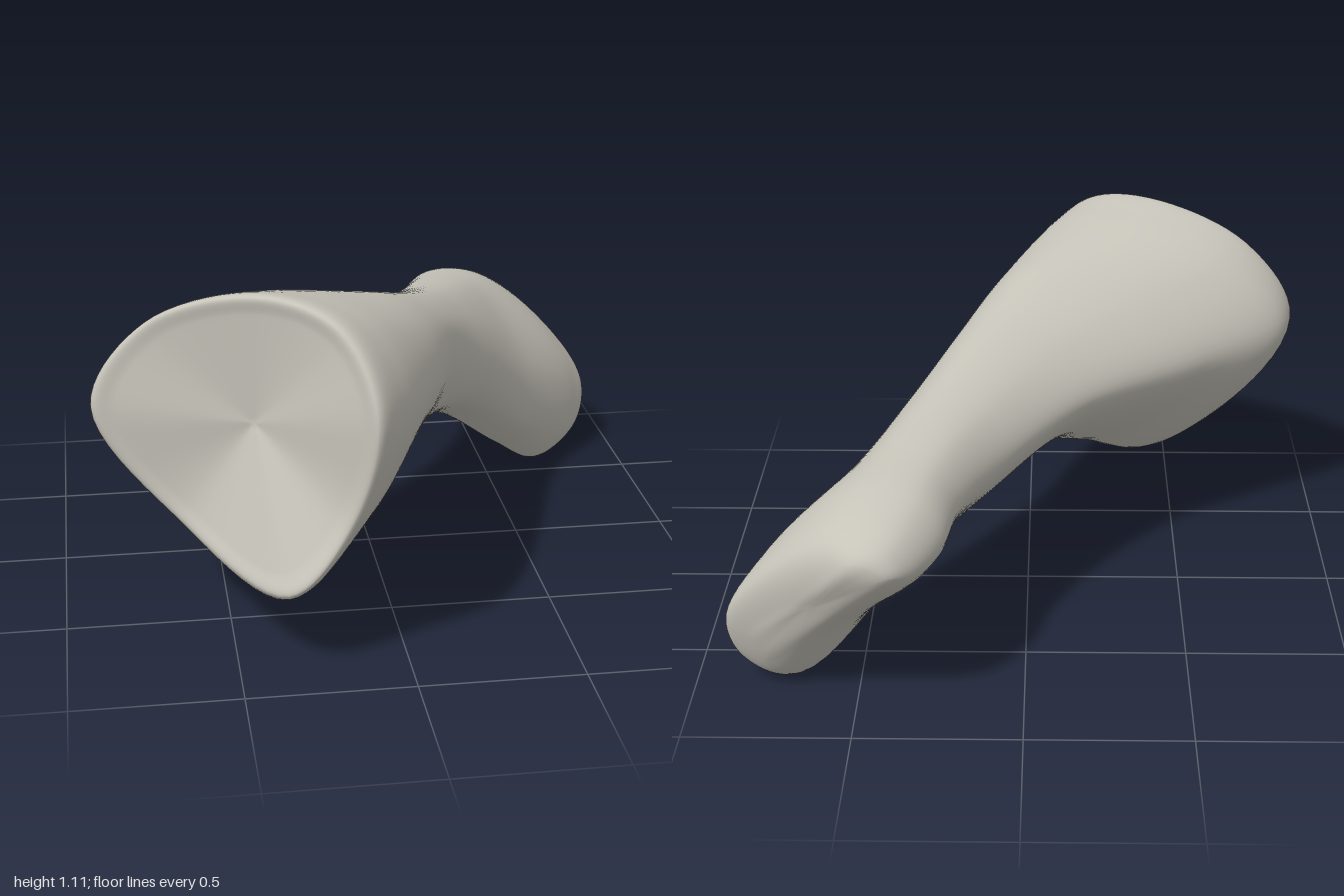
import * as THREE from 'three';

const V = (p) => new THREE.Vector3(...p);

// Cross-section from its top, right, bottom and left points. The four corners
// between them bulge outwards: fullA for top right / low left, fullB for the others.
// A low corner may be placed outright where the bone is not symmetrical.
function section(top, right, bottom, left, fullA, fullB, lowLeft, lowRight) {
  const main = [top, right, bottom, left].map(V);
  const placed = [null, lowRight, lowLeft, null];
  const centre = new THREE.Vector3();
  main.forEach((p) => centre.addScaledVector(p, 0.25));
  return main.flatMap((p, i) => {
    const middle = p.clone().lerp(main[(i + 1) % 4], 0.5);
    const bulged = centre.clone().lerp(middle, i % 2 ? fullB : fullA);
    return [p, placed[i] ? V(placed[i]) : bulged];
  });
}

const shrink = (ring, centre, t) => ring.map((p) => p.clone().lerp(centre, t));

// Wide near joint: rim of the hollow face, then the flare behind it
const nearJoint = () => [
  section([-.42, 1.1, .7], [-.11, .83, .98], [-.36, .27, .92], [-.89, .74, .56], 1.35, 1.37, [-.64, .39, .63], [-.18, .48, .93]),
  section([-.34, 1.08, .59], [-.01, .8, .84], [-.35, .2, .64], [-.86, .72, .44], 1.33, 1.36, [-.64, .39, .49], [-.1, .44, .76]),
  section([-.04, .985, .36], [.14, .72, .49], [-.15, .33, .4], [-.58, .68, .25], 1.25, 1.42, [-.4, .45, .3], [.04, .5, .43]),
];

// Narrow, slightly twisted shaft
const shaft = () => [
  section([.12, .89, .1], [.26, .66, .16], [.07, .45, .06], [-.2, .66, -.03], 1.32, 1.45),
  section([.26, .8, -.2], [.42, .55, -.11], [.28, .35, -.22], [.05, .6, -.35], 1.32, 1.4),
  section([.41, .72, -.52], [.61, .4, -.38], [.52, .13, -.47], [.19, .57, -.63], 1.3, 1.33, [.34, .37, -.59]),
];

// Slanted, elongated far joint
const farJoint = () => [
  section([.48, .68, -.75], [.84, .3, -.65], [.69, 0, -.62], [.235, .53, -.81], 1.35, 1.25, [.49, .25, -.73]),
  section([.51, .61, -.92], [.89, .25, -.73], [.75, .03, -.69], [.31, .5, -.93], 1.38, 1.2, [.56, .27, -.82]),
  section([.5, .55, -.98], [.81, .21, -.77], [.77, .12, -.75], [.39, .51, -.99], 1.05, 1.08),
];

// Skin over the rings, smoothed around and along; both end rings are single points
function loft(rings, around, steps) {
  const loops = rings.map((ring) => {
    const curve = new THREE.CatmullRomCurve3(ring, true);
    return Array.from({ length: around }, (_, j) => curve.getPoint(j / around));
  });
  const columns = Array.from({ length: around }, (_, j) =>
    new THREE.CatmullRomCurve3(loops.map((loop) => loop[j])));
  const rows = (rings.length - 1) * steps;
  const positions = [];
  const index = [];
  for (let i = 1; i < rows; i++) {
    for (const column of columns) positions.push(...column.getPoint(i / rows).toArray());
  }
  const at = (i, j) => i * around + (j % around);
  for (let i = 0; i < rows - 2; i++) {
    for (let j = 0; j < around; j++) {
      const a = at(i, j), b = at(i, j + 1), c = at(i + 1, j), d = at(i + 1, j + 1);
      index.push(a, b, c, b, d, c);
    }
  }
  // Close both ends
  const first = positions.length / 3;
  positions.push(...rings[0][0].toArray(), ...rings.at(-1)[0].toArray());
  for (let j = 0; j < around; j++) {
    index.push(first, at(0, j + 1), at(0, j));
    index.push(first + 1, at(rows - 2, j), at(rows - 2, j + 1));
  }
  const geometry = new THREE.BufferGeometry();
  geometry.setAttribute('position', new THREE.Float32BufferAttribute(positions, 3));
  geometry.setIndex(index);
  geometry.computeVertexNormals();
  return geometry;
}

export function createModel() {
  const material = new THREE.MeshStandardMaterial({ color: 0xc6c3b9 });
  material.name = 'bone';

  const body = [...nearJoint(), ...shaft(), ...farJoint()];
  const hollow = V([-.43, .71, .67]);
  const tip = V([.62, .36, -.88]);
  const rings = [
    shrink(body[0], hollow, 1),
    shrink(body[0], hollow, .55),
    shrink(body[0], hollow, .14),
    ...body,
    shrink(body.at(-1), tip, 1),
  ];

  const mesh = new THREE.Mesh(loft(rings, 72, 10), material);
  mesh.name = 'boneShaftAndJoints';
  const group = new THREE.Group();
  group.name = 'bone';
  group.add(mesh);
  return group;
}
